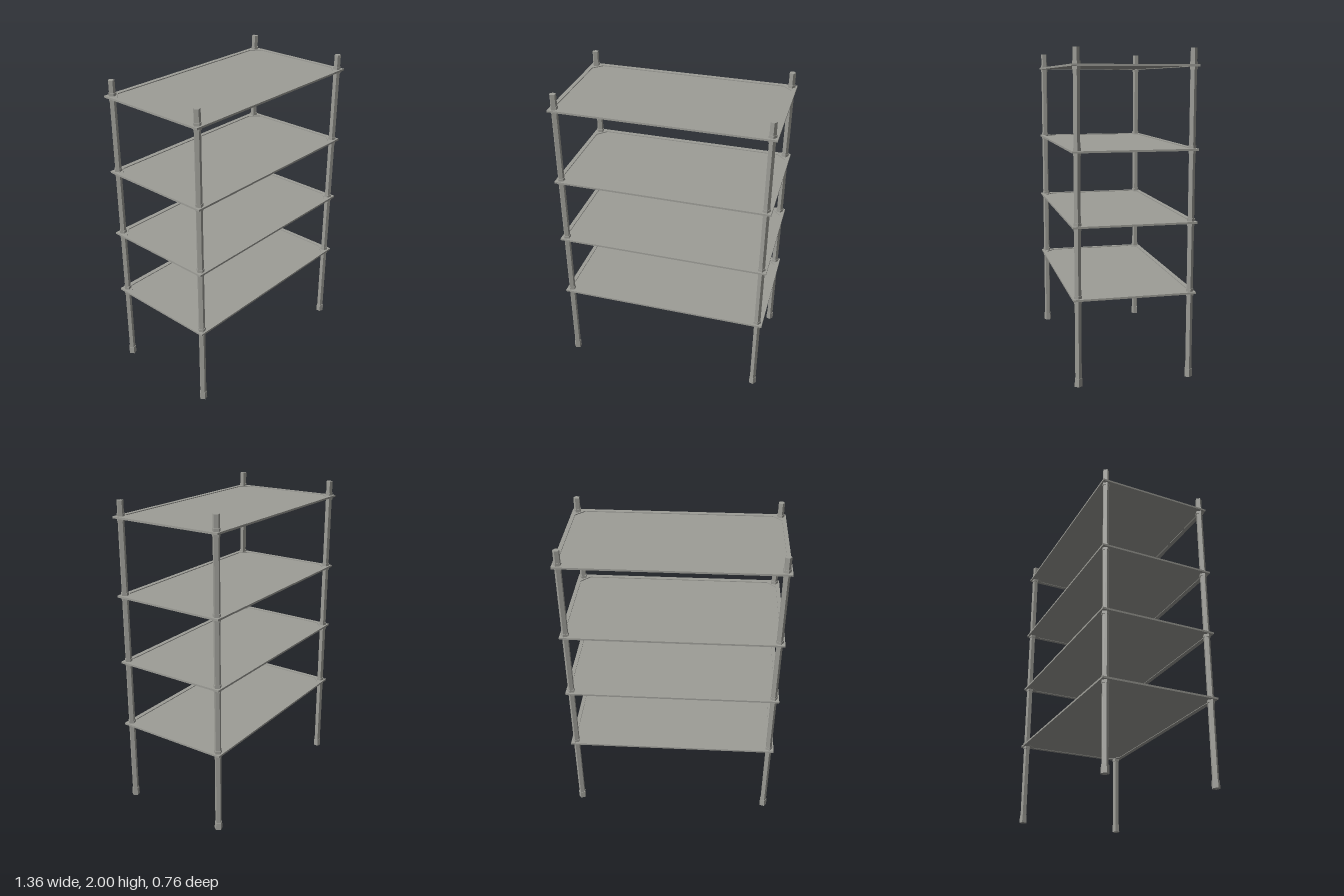
import * as THREE from 'three';

export function createModel() {
  const model = new THREE.Group();
  const metal = new THREE.MeshStandardMaterial({ color: 0x9d9d97 });
  metal.name = 'grey metal';
  metal.flatShading = true;

  const W = 0.682, D = 0.378;            // shelf half sizes
  const shelfHeights = [0.54, 0.975, 1.412, 1.9];
  const SIDES = 5;

  const add = (parent, name, geometry, x, y, z) => {
    const mesh = new THREE.Mesh(geometry, metal);
    mesh.name = name;
    mesh.position.set(x, y, z);
    parent.add(mesh);
    return mesh;
  };

  // Outline with corners cut off by c
  const cutCorners = (w, d, c) => [
    [w - c, -d], [w, -d + c], [w, d - c], [w - c, d],
    [-w + c, d], [-w, d - c], [-w, -d + c], [-w + c, -d],
  ].map(([x, y]) => new THREE.Vector2(x, y));

  // Rim frame with a chamfered opening, and the thin sheet inside it
  const rimShape = new THREE.Shape([[-W, -D], [W, -D], [W, D], [-W, D]].map(([x, y]) => new THREE.Vector2(x, y)));
  rimShape.holes.push(new THREE.Path(cutCorners(0.657, 0.35, 0.057).reverse()));
  const rimGeo = new THREE.ExtrudeGeometry(rimShape, { depth: 0.012, bevelEnabled: false });
  rimGeo.rotateX(-Math.PI / 2).translate(0, -0.006, 0);
  const sheetGeo = new THREE.ExtrudeGeometry(new THREE.Shape(cutCorners(0.658, 0.351, 0.057)), { depth: 0.003, bevelEnabled: false });
  sheetGeo.rotateX(-Math.PI / 2).translate(0, -0.0025, 0);

  shelfHeights.forEach((y) => {
    const shelf = new THREE.Group();
    shelf.name = 'shelf';
    shelf.position.y = y;
    add(shelf, 'shelfRim', rimGeo, 0, 0, 0);
    add(shelf, 'shelfSheet', sheetGeo, 0, 0, 0);
    model.add(shelf);
  });

  // Five-sided posts with collars at each shelf and a foot
  const postGeo = new THREE.CylinderGeometry(0.021, 0.021, 1.99, SIDES);
  const collarGeo = new THREE.CylinderGeometry(0.025, 0.025, 0.046, SIDES);
  const footGeo = new THREE.CylinderGeometry(0.024, 0.026, 0.05, SIDES);
  for (const sx of [-1, 1]) {
    for (const sz of [-1, 1]) {
      const post = new THREE.Group();
      post.name = (sz > 0 ? 'front' : 'back') + (sx > 0 ? 'Left' : 'Right') + 'Post';
      post.position.set(sx * 0.648, 0, sz * 0.346);
      post.rotation.y = sx * Math.PI / 2;
      add(post, 'post', postGeo, 0, 1.005, 0);
      add(post, 'foot', footGeo, 0, 0.025, 0);
      shelfHeights.forEach((y) => add(post, 'collar', collarGeo, 0, y, 0));
      model.add(post);
    }
  }
  return model;
}
